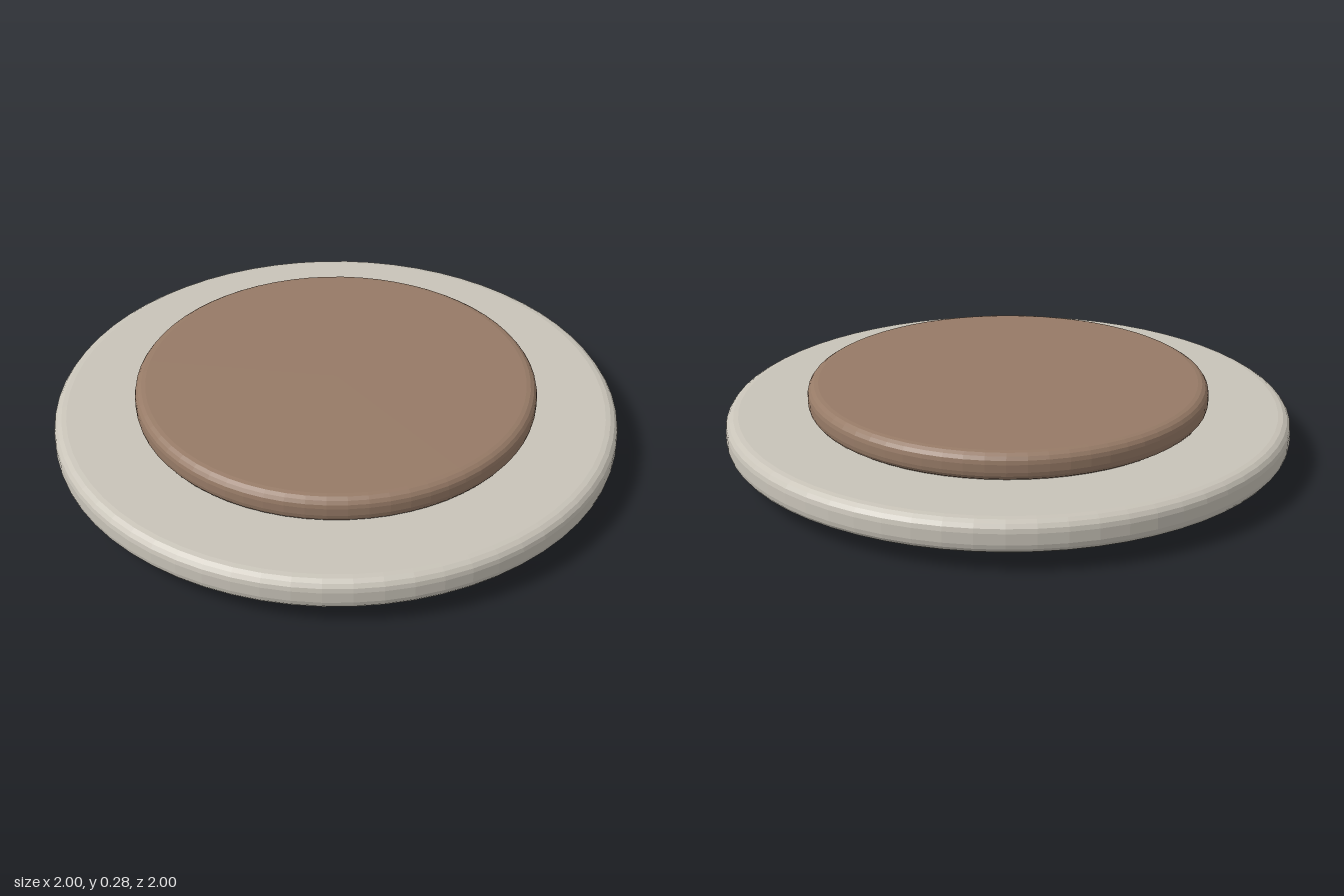
import * as THREE from 'three';

const stone = new THREE.MeshStandardMaterial({ color: 0xc8c3b8, flatShading: true });
stone.name = 'paleStone';
const brown = new THREE.MeshStandardMaterial({ color: 0x967a66, flatShading: true });
brown.name = 'warmBrown';

// Solid disc with rounded upper and lower rims
function roundedDisc(name, radius, y0, y1, bevelX, bevelY, material) {
  const steps = 4;
  const points = [new THREE.Vector2(0, y0)];
  for (const [centre, start] of [[y0 + bevelY, -Math.PI / 2], [y1 - bevelY, 0]]) {
    for (let i = 0; i <= steps; i++) {
      const a = start + (i / steps) * Math.PI / 2;
      points.push(new THREE.Vector2(radius - bevelX + bevelX * Math.cos(a), centre + bevelY * Math.sin(a)));
    }
  }
  points.push(new THREE.Vector2(0, y1));
  const mesh = new THREE.Mesh(new THREE.LatheGeometry(points, 64), material);
  mesh.name = name;
  return mesh;
}

export function createModel() {
  const group = new THREE.Group();
  group.name = 'steppedDisc';
  group.add(
    roundedDisc('foot', 0.7, 0, 0.065, 0.032, 0.028, stone),
    roundedDisc('plate', 1, 0.062, 0.18, 0.045, 0.04, stone),
    roundedDisc('topPad', 0.71, 0.178, 0.277, 0.038, 0.036, brown)
  );
  return group;
}
